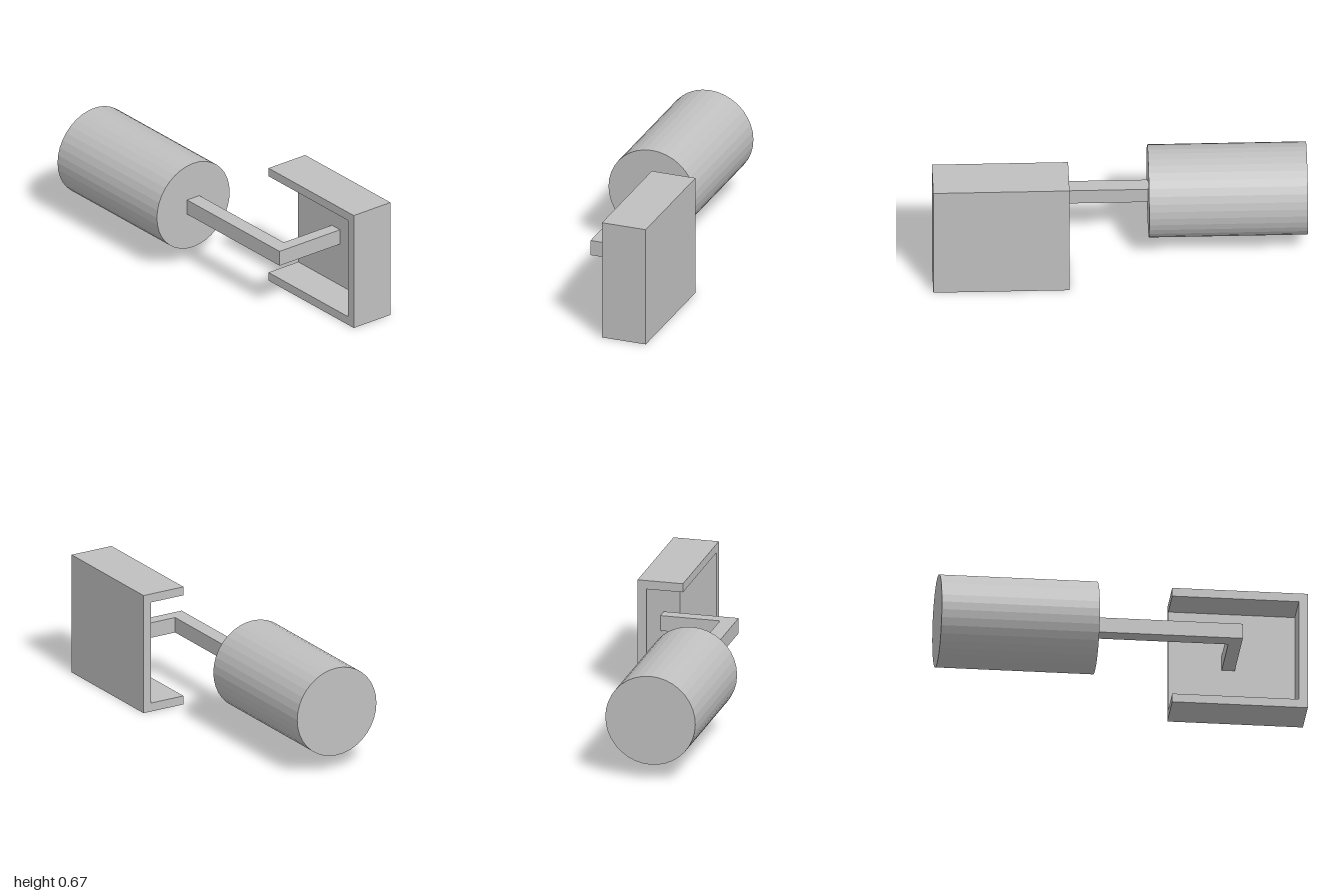
import * as THREE from 'three';

export function createModel() {
  const group = new THREE.Group();
  const grey = new THREE.MeshStandardMaterial({ color: 0xc0c0c0, flatShading: true });
  grey.name = 'grey';

  function add(name, geometry, parent = group) {
    const mesh = new THREE.Mesh(geometry, grey);
    mesh.name = name;
    parent.add(mesh);
    return mesh;
  }

  // Box given by its low and high corners
  function block(name, [x0, y0, z0], [x1, y1, z1], parent) {
    const mesh = add(name, new THREE.BoxGeometry(x1 - x0, y1 - y0, z1 - z0), parent);
    mesh.position.set((x0 + x1) / 2, (y0 + y1) / 2, (z0 + z1) / 2);
  }

  // Round body lying along x
  const body = add('cylinderBody', new THREE.CylinderGeometry(0.248, 0.248, 0.845, 36).rotateZ(Math.PI / 2));
  body.position.set(-0.5775, 0.334, 0.085);

  // L-shaped arm, running from the body and turning back to the housing
  const outline = [
    [-0.155, 0.043], [0.561, 0.043], [0.561, -0.286],
    [0.631, -0.286], [0.631, 0.127], [-0.155, 0.127],
  ].map(([x, z]) => new THREE.Vector2(x, z));
  const arm = add('bentArm', new THREE.ExtrudeGeometry(new THREE.Shape(outline), { depth: 0.085, bevelEnabled: false })
    .rotateX(Math.PI / 2));
  arm.position.y = 0.377;

  // Housing open at the front and on the side facing the body
  const housing = new THREE.Group();
  housing.name = 'housing';
  group.add(housing);
  const t = 0.048, left = 0.275, right = 1, top = 0.668, back = -0.333, front = -0.083;
  block('backPlate', [left, 0, back], [right, top, back + t], housing);
  block('bottomWall', [left, 0, back + t], [right, t, front], housing);
  block('topWall', [left, top - t, back + t], [right, top, front], housing);
  block('sideWall', [right - t, t, back + t], [right, top - t, front], housing);

  return group;
}
